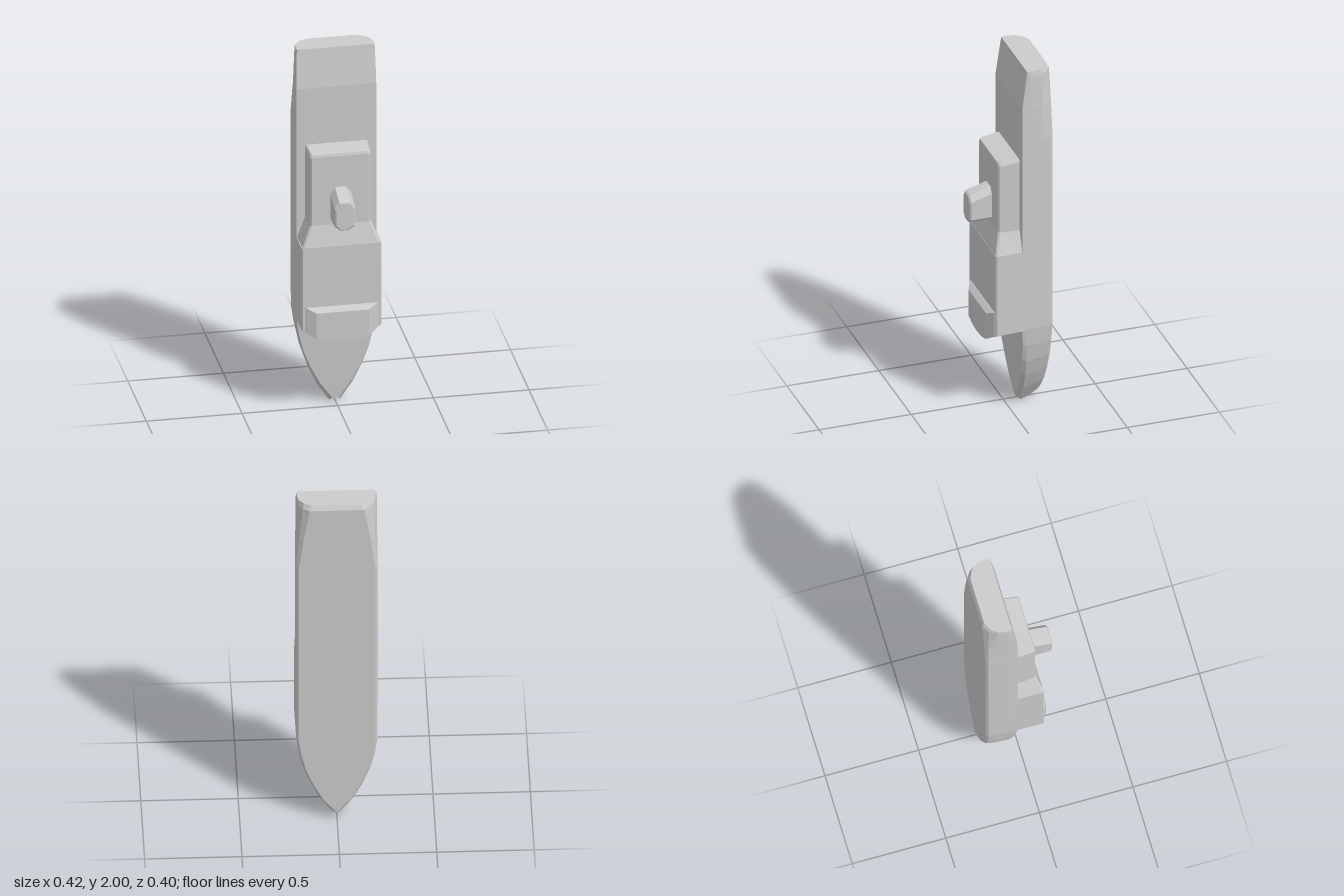
import * as THREE from 'three';

const material = new THREE.MeshStandardMaterial({ color: 0xcccccc, flatShading: true });

// Skins a row of equal-length closed loops of [x, y, z] and caps both ends.
function loft(name, loops) {
  const pos = [];
  const tri = (a, b, c) => pos.push(...a, ...b, ...c);
  const n = loops[0].length;
  for (let i = 0; i < loops.length - 1; i++) {
    for (let j = 0; j < n; j++) {
      const k = (j + 1) % n;
      const [a, b, c, d] = [loops[i][j], loops[i][k], loops[i + 1][k], loops[i + 1][j]];
      tri(a, b, c);
      tri(a, c, d);
    }
  }
  const cap = (loop, flip) => {
    const mid = [0, 1, 2].map(k => loop.reduce((s, p) => s + p[k], 0) / n);
    loop.forEach((p, j) => {
      const q = loop[(j + 1) % n];
      flip ? tri(mid, q, p) : tri(mid, p, q);
    });
  };
  cap(loops[0], true);
  cap(loops[loops.length - 1], false);

  // Turn the skin outward if its signed volume is negative
  const v = i => new THREE.Vector3().fromArray(pos, i);
  let volume = 0;
  for (let i = 0; i < pos.length; i += 9) volume += v(i).dot(v(i + 3).cross(v(i + 6)));
  if (volume < 0) {
    for (let i = 0; i < pos.length; i += 9) {
      for (let k = 0; k < 3; k++) [pos[i + 3 + k], pos[i + 6 + k]] = [pos[i + 6 + k], pos[i + 3 + k]];
    }
  }
  const geometry = new THREE.BufferGeometry();
  geometry.setAttribute('position', new THREE.Float32BufferAttribute(pos, 3));
  geometry.computeVertexNormals();
  const mesh = new THREE.Mesh(geometry, material);
  mesh.name = name;
  return mesh;
}

// Closes a half outline by mirroring it across x = 0
const mirror = half => [...half, ...half.map(([x, y, z]) => [-x, y, z]).reverse()];

function hull() {
  const loops = [];
  // Bow: y, half width, deck height, rake of the keel
  const bow = [
    [0, 0.03, -0.064, 0.045], [0.1, 0.095, -0.057, 0.03], [0.2, 0.142, -0.051, 0.025],
    [0.3, 0.177, -0.045, 0.02], [0.4, 0.198, -0.039, 0.015], [0.5, 0.209, -0.032, 0.01],
  ];
  bow.forEach(([y, w, z, rake], i) => {
    const inset = 0.015 * (1 - i / 5);
    loops.push(mirror([
      [w - inset, y + inset, z], [w, y, z - 0.02], [w, y + rake * 0.5, -0.14],
      [w - inset, y + rake * 0.9, -0.186], [w - inset - 0.012, y + rake, -0.199],
    ]));
  });
  // Parallel body, then the tapered stern: y and half section
  const body = [[0.209, -0.032], [0.21, -0.1], [0.21, -0.15], [0.21, -0.188], [0.198, -0.2]];
  const stern = [
    [1.6, body],
    [1.79, [[0.208, -0.032], [0.21, -0.085], [0.206, -0.142], [0.194, -0.183], [0.172, -0.2]]],
    [1.975, [[0.203, -0.057], [0.209, -0.075], [0.2, -0.135], [0.175, -0.175], [0.14, -0.2]]],
    [2, [[0.198, -0.06], [0.205, -0.075], [0.198, -0.13], [0.168, -0.168], [0.125, -0.187]]],
  ];
  stern.forEach(([y, half]) => loops.push(mirror(half.map(([x, z]) => [x, y, z]))));
  return loft('hull', loops);
}

// Outline of a deck block with a bowed front, at height z
function bowedOutline(w, sideY, frontY, backY, z) {
  const half = [[0, backY, z], [w, backY, z]];
  for (const t of [1, 0.75, 0.5, 0.25, 0]) half.push([w * t, frontY + (sideY - frontY) * t * t, z]);
  return [...half, ...half.slice(1, -1).map(([x, y, h]) => [-x, y, h]).reverse()];
}

export function createModel() {
  const ship = new THREE.Group();
  ship.name = 'ship';
  ship.add(hull());

  // Full-width deckhouse with bowed front
  ship.add(loft('deckhouse', [
    bowedOutline(0.209, 0.495, 0.422, 0.955, -0.04),
    bowedOutline(0.209, 0.49, 0.422, 0.955, 0.103),
    bowedOutline(0.202, 0.49, 0.422, 0.955, 0.111),
  ]));

  // Bridge raised on the front of the deckhouse
  ship.add(loft('bridge', [
    bowedOutline(0.195, 0.482, 0.42, 0.62, 0.105),
    bowedOutline(0.185, 0.478, 0.42, 0.617, 0.115),
    bowedOutline(0.137, 0.446, 0.42, 0.595, 0.141),
  ]));

  // Sloped shoulder and narrower aft house: y, base half width, top half width, height, lean
  const aft = [
    [0.95, 0.209, 0.202, 0.111, 0], [1.065, 0.166, 0.155, 0.08, 0],
    [1.46, 0.166, 0.155, 0.08, 0.014], [1.475, 0.158, 0.148, 0.076, 0.015],
  ];
  ship.add(loft('aftHouse', aft.map(([y, base, top, z, lean]) => mirror([
    [base, y, -0.04], [top + 0.003, y - lean * 0.8, z - 0.009], [top - 0.006, y - lean, z],
  ]))));

  // Funnel: chamfered outline, raked on its aft side
  const funnel = [[0.07, 0.054, 1.078, 1.276], [0.192, 0.054, 1.078, 1.24], [0.2, 0.046, 1.084, 1.232]];
  ship.add(loft('funnel', funnel.map(([z, w, y0, y1]) => mirror([
    [w * 0.4, y0, z], [w, y0 + 0.025, z], [w, y1 - 0.035, z], [w * 0.55, y1, z],
  ]))));

  return ship;
}
